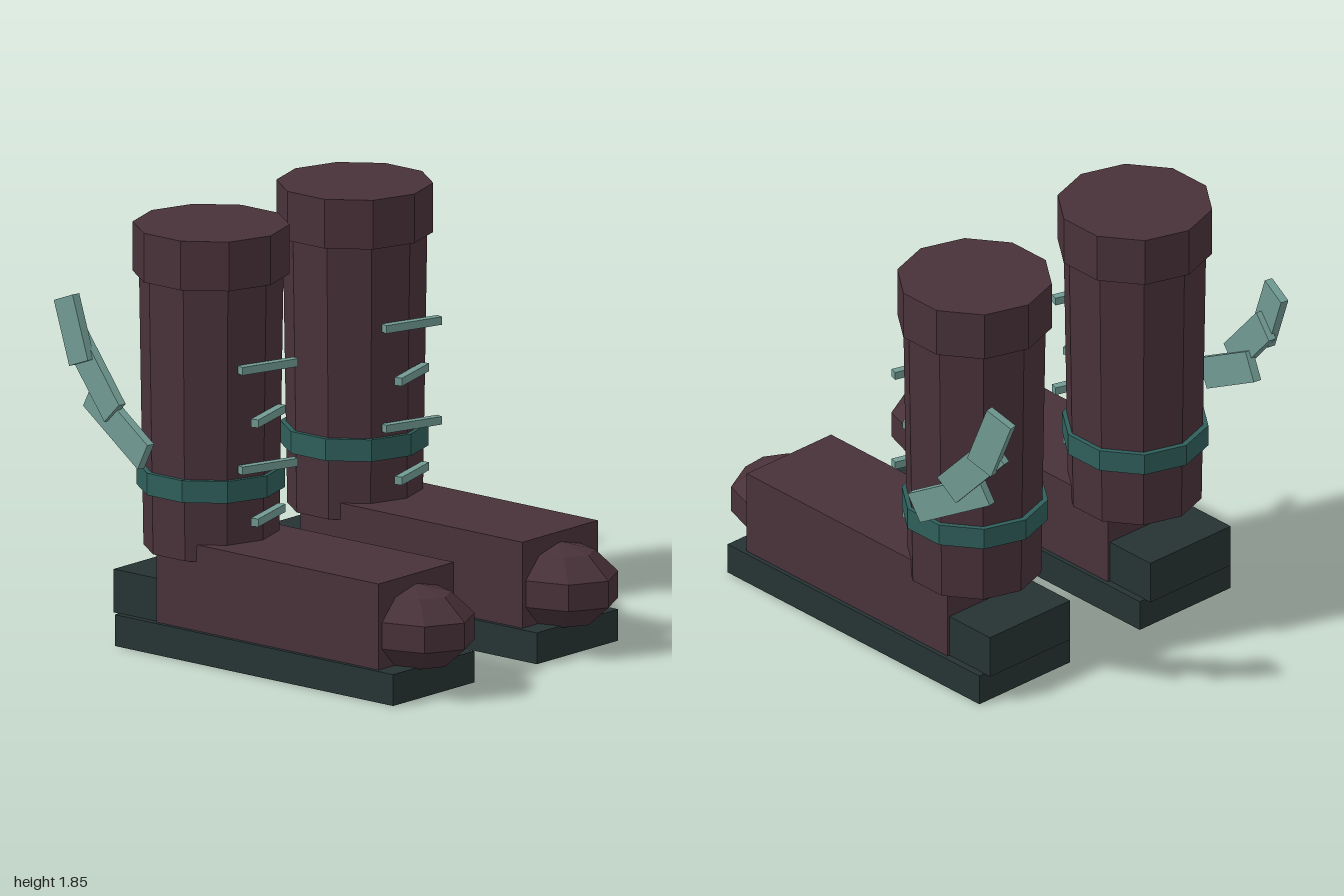
import * as THREE from 'three';

const mat = (name, color) => {
  const m = new THREE.MeshStandardMaterial({ color });
  m.name = name;
  m.flatShading = true;
  return m;
};

export function createModel() {
  const leather = mat('dark plum leather', 0x49323a);
  const rubber = mat('dark sole', 0x263333);
  const teal = mat('teal strap', 0x2f5f5b);
  const pale = mat('pale teal', 0x719b93);

  const add = (parent, name, geometry, material, x, y, z) => {
    const mesh = new THREE.Mesh(geometry, material);
    mesh.name = name;
    mesh.position.set(x, y, z);
    parent.add(mesh);
    return mesh;
  };
  const box = (w, h, d) => new THREE.BoxGeometry(w, h, d);
  const tube = (top, bottom, h) => new THREE.CylinderGeometry(top, bottom, h, 10);

  // Wing feathers: length, pitch, x offset, y, z
  const feathers = [
    [0.42, 0.51, 0.343, 0.997, -0.638],
    [0.372, 0.82, 0.338, 1.188, -0.768],
    [0.287, 1.2, 0.343, 1.372, -0.886],
  ];

  const model = new THREE.Group();
  model.name = 'wingedBoots';

  for (const side of [1, -1]) {
    const boot = new THREE.Group();
    boot.name = side > 0 ? 'leftBoot' : 'rightBoot';
    boot.position.x = side * 0.466;
    model.add(boot);

    // Sole, heel and foot
    add(boot, 'sole', box(0.528, 0.137, 1.555), rubber, 0, 0.0685, 0.05);
    add(boot, 'heel', box(0.466, 0.19, 0.26), rubber, 0, 0.23, -0.63);
    add(boot, 'foot', box(0.49, 0.376, 1.24), leather, 0, 0.325, 0.11);
    const toe = add(boot, 'toeCap', new THREE.SphereGeometry(1, 8, 5), leather, 0, 0.282, 0.712);
    toe.scale.set(0.24, 0.188, 0.303);

    // Ten-sided shaft with cuff and ankle strap
    add(boot, 'shaft', tube(0.307, 0.288, 1.2), leather, 0, 1.04, -0.416);
    add(boot, 'cuff', tube(0.333, 0.333, 0.215), leather, 0, 1.7425, -0.417);
    add(boot, 'ankleStrap', tube(0.315, 0.315, 0.096), teal, 0, 0.75, -0.419);

    // Laces, turned alternately
    [0.627, 0.842, 1.06, 1.278].forEach((y, i) => {
      const lace = add(boot, 'lace', box(0.28, 0.035, 0.035), pale, 0, y, -0.098);
      lace.rotation.y = i % 2 ? -0.29 : 0.29;
      if (i === 0 || i === 2) lace.rotation.y = 0.29;
    });

    // Wing on the outer side
    const wing = new THREE.Group();
    wing.name = 'wing';
    boot.add(wing);
    for (const [length, pitch, x, y, z] of feathers) {
      const feather = add(wing, 'feather', box(0.037, 0.135, length), pale, side * x, y, z);
      feather.rotation.set(pitch, side * 0.18, 0, 'YXZ');
    }
  }
  return model;
}
